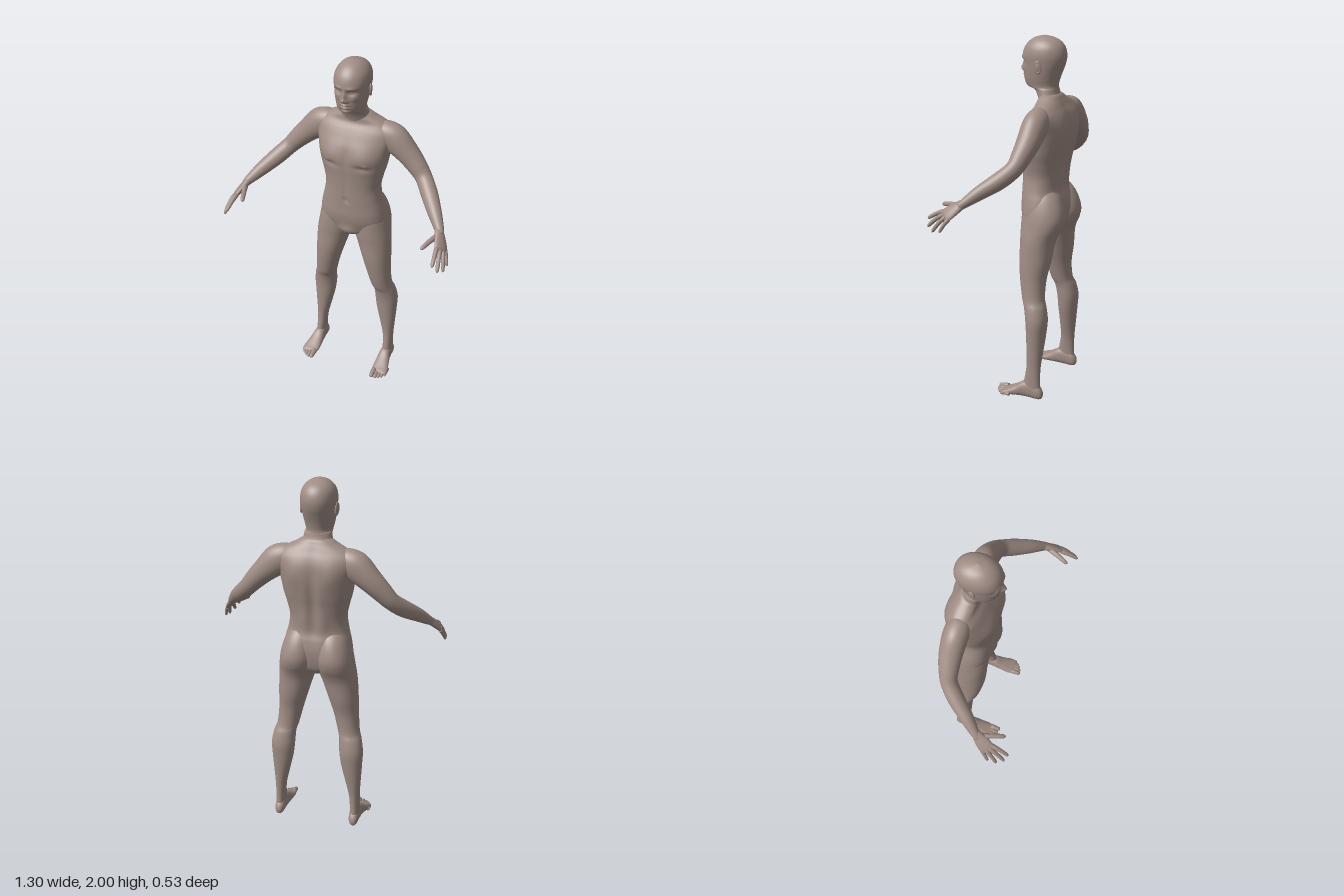
import * as THREE from 'three';

const skin = new THREE.MeshStandardMaterial({ color: 0xa08d85 });
skin.name = 'skin';

// Smoothly resample rows of numbers, column by column (Catmull-Rom)
function resample(rows, steps) {
  const out = [], last = rows.length - 1;
  for (let i = 0; i <= last * steps; i++) {
    const k = Math.min(Math.floor(i / steps), last - 1), t = i / steps - k;
    const at = (j) => rows[Math.max(0, Math.min(last, j))];
    out.push(rows[k].map((b, c) => {
      const a = at(k - 1)[c], d = at(k + 1)[c], e = at(k + 2)[c];
      return 0.5 * (2 * b + (d - a) * t + (2 * a - 5 * b + 4 * d - e) * t * t + (3 * b - a - 3 * d + e) * t ** 3);
    }));
  }
  return out;
}

// Join rings of points into a closed skin, turned outwards
function skinRings(name, rings) {
  const n = rings[0].length, pts = rings.flat(), index = [];
  for (let r = 0; r < rings.length - 1; r++) {
    for (let i = 0; i < n; i++) {
      const a = r * n + i, b = r * n + (i + 1) % n;
      index.push(a, b, a + n, b, b + n, a + n);
    }
  }
  [rings[0], rings[rings.length - 1]].forEach((ring, end) => {
    const c = ring.reduce((s, p) => s.add(p), new THREE.Vector3()).divideScalar(n);
    const start = end ? (rings.length - 1) * n : 0, id = pts.length;
    pts.push(c);
    for (let i = 0; i < n; i++) {
      const a = start + i, b = start + (i + 1) % n;
      index.push(...(end ? [a, b, id] : [b, a, id]));
    }
  });
  let volume = 0;
  const cross = new THREE.Vector3();
  for (let i = 0; i < index.length; i += 3) {
    volume += pts[index[i]].dot(cross.crossVectors(pts[index[i + 1]], pts[index[i + 2]]));
  }
  if (volume < 0) index.reverse();
  const geo = new THREE.BufferGeometry().setFromPoints(pts);
  geo.setIndex(index);
  geo.computeVertexNormals();
  const mesh = new THREE.Mesh(geo, skin);
  mesh.name = name;
  return mesh;
}

const sp = (v, p) => Math.sign(v) * Math.abs(v) ** (2 / p);

// Stack of level slices: [level, x0, x1, v0, v1]; shape() places and sculpts a point
function stack(name, rows, steps, seg, power, shape) {
  return skinRings(name, resample(rows, steps).map(([h, x0, x1, v0, v1]) =>
    Array.from({ length: seg }, (_, i) => {
      const a = (i / seg) * Math.PI * 2;
      const x = (x0 + x1) / 2 + (x1 - x0) / 2 * sp(Math.cos(a), power);
      const v = (v0 + v1) / 2 + (v1 - v0) / 2 * sp(Math.sin(a), power);
      return shape(x, h, v);
    })));
}

// Limb along a path: [x, y, z, radiusAlongRef, radiusAcross]; s mirrors it
function limb(name, rows, s, ref, steps = 6, seg = 24) {
  const list = resample(rows, steps);
  const at = (i) => {
    const r = list[Math.max(0, Math.min(list.length - 1, i))];
    return new THREE.Vector3(r[0] * s, r[1], r[2]);
  };
  return skinRings(name, list.map((row, i) => {
    const t = at(i + 1).sub(at(i - 1)).normalize();
    const a = new THREE.Vector3(ref[0] * s, ref[1], ref[2]);
    a.addScaledVector(t, -a.dot(t)).normalize();
    const b = new THREE.Vector3().crossVectors(t, a);
    return Array.from({ length: seg }, (_, k) => {
      const w = (k / seg) * Math.PI * 2;
      return at(i).addScaledVector(a, Math.cos(w) * row[3]).addScaledVector(b, Math.sin(w) * row[4]);
    });
  }));
}

// Finger or toe from base to tip with knuckles and an arch
function digit(name, from, to, r, arch, s) {
  const profile = [[0, 1], [0.25, 1.02], [0.5, 0.9], [0.75, 0.86], [0.93, 0.66], [1, 0.08]];
  return limb(name, profile.map(([t, k]) => {
    const p = from.map((v, i) => v + (to[i] - v) * t);
    p[1] += arch * Math.sin(Math.PI * t);
    return [...p, r * k, r * k];
  }), s, [1, 0.3, 0.2], 3, 12);
}

// Sum of soft bumps [x, y, width, height, amount], mirrored in x
const bumps = (list, x, y) => list.reduce((sum, [cx, cy, w, h, d]) =>
  sum + d * Math.exp(-(((Math.abs(x) - cx) / w) ** 2) - ((y - cy) / h) ** 2), 0);

const chestBumps = [[0.1, 1.475, 0.06, 0.045, 0.01], [0.09, 1.42, 0.04, 0.014, -0.009], [0.11, 1.437, 0.012, 0.01, 0.007],
  [0, 1.47, 0.016, 0.08, -0.007], [0, 1.2, 0.012, 0.012, -0.01], [0, 1.27, 0.01, 0.08, -0.004], [0, 0.99, 0.045, 0.03, 0.015]];
const backBumps = [[0, 1.4, 0.025, 0.18, 0.014], [0.1, 1.52, 0.05, 0.07, -0.01], [0.05, 1.25, 0.03, 0.08, -0.006]];
const faceBumps = [[0, 1.845, 0.011, 0.024, 0.014], [0, 1.822, 0.012, 0.013, 0.02], [0.014, 1.816, 0.007, 0.008, 0.011],
  [0.036, 1.862, 0.018, 0.011, -0.016], [0.036, 1.862, 0.012, 0.006, 0.009], [0.035, 1.886, 0.024, 0.009, 0.006],
  [0.052, 1.83, 0.02, 0.018, 0.006], [0, 1.792, 0.02, 0.006, 0.011], [0, 1.785, 0.026, 0.0025, -0.007],
  [0, 1.776, 0.017, 0.006, 0.01], [0, 1.764, 0.02, 0.006, -0.004], [0, 1.747, 0.02, 0.011, 0.006]];

const wide = ([y, w, front, back]) => [y, -w, w, front, back];

const torsoRows = [[0.935, 0.008, -0.1, -0.13], [0.95, 0.05, -0.05, -0.19], [0.97, 0.11, -0.03, -0.21], [1, 0.17, -0.022, -0.225],
  [1.05, 0.19, -0.007, -0.235], [1.1, 0.187, 0, -0.238], [1.15, 0.177, 0, -0.23], [1.2, 0.164, 0, -0.215],
  [1.27, 0.155, 0, -0.22], [1.34, 0.168, 0.002, -0.23], [1.4, 0.184, 0.007, -0.242], [1.46, 0.195, 0.008, -0.25],
  [1.52, 0.205, -0.006, -0.252], [1.57, 0.215, -0.032, -0.248], [1.61, 0.213, -0.056, -0.235], [1.645, 0.175, -0.08, -0.215],
  [1.675, 0.115, -0.083, -0.198], [1.7, 0.07, -0.09, -0.18], [1.71, 0.01, -0.12, -0.14]].map(wide);

const headRows = [[1.6, 0.07, -0.09, -0.2], [1.66, 0.086, -0.08, -0.196], [1.7, 0.076, -0.064, -0.178], [1.725, 0.072, -0.045, -0.172],
  [1.735, 0.07, -0.01, -0.171], [1.75, 0.072, 0.006, -0.172], [1.78, 0.079, 0.015, -0.18], [1.82, 0.086, 0.018, -0.195],
  [1.86, 0.091, 0.02, -0.21], [1.9, 0.094, 0.023, -0.216], [1.94, 0.087, 0.01, -0.207], [1.97, 0.068, -0.015, -0.184],
  [1.99, 0.04, -0.048, -0.145], [2, 0.003, -0.092, -0.1]].map(wide);

const legRows = [[1.22, 0.05, 0.12, -0.09, -0.17], [1.17, 0.02, 0.16, -0.05, -0.222], [1.11, 0.006, 0.185, -0.03, -0.253],
  [1.05, 0.002, 0.2, -0.025, -0.265], [1, 0.004, 0.208, -0.024, -0.255], [0.95, 0.012, 0.215, -0.025, -0.232],
  [0.9, 0.028, 0.22, -0.028, -0.217], [0.8, 0.06, 0.225, -0.03, -0.205], [0.7, 0.09, 0.228, -0.042, -0.187],
  [0.6, 0.115, 0.237, -0.062, -0.187], [0.55, 0.128, 0.253, -0.082, -0.203], [0.48, 0.132, 0.265, -0.095, -0.215],
  [0.4, 0.142, 0.262, -0.1, -0.21], [0.3, 0.165, 0.256, -0.105, -0.2], [0.2, 0.188, 0.25, -0.107, -0.19],
  [0.12, 0.195, 0.25, -0.095, -0.188], [0.06, 0.197, 0.25, -0.085, -0.19], [0.03, 0.205, 0.24, -0.1, -0.18]];

const footRows = [[-0.206, 0.218, 0.228, 0.03, 0.04], [-0.2, 0.206, 0.24, 0.012, 0.06], [-0.18, 0.196, 0.249, 0.004, 0.085],
  [-0.14, 0.192, 0.253, 0.004, 0.105], [-0.09, 0.188, 0.258, 0.004, 0.098], [-0.05, 0.185, 0.268, 0.004, 0.07],
  [0, 0.183, 0.28, 0.004, 0.042], [0.025, 0.188, 0.28, 0.005, 0.031], [0.04, 0.195, 0.265, 0.012, 0.022]];

const armRows = [[0.12, 1.6, -0.145, 0.045, 0.05], [0.165, 1.59, -0.147, 0.062, 0.07], [0.215, 1.562, -0.15, 0.066, 0.08],
  [0.285, 1.5, -0.15, 0.061, 0.065], [0.345, 1.44, -0.142, 0.052, 0.055], [0.395, 1.385, -0.125, 0.044, 0.047],
  [0.45, 1.33, -0.07, 0.044, 0.046], [0.51, 1.275, 0.005, 0.036, 0.038], [0.555, 1.23, 0.06, 0.026, 0.027],
  [0.575, 1.208, 0.088, 0.02, 0.02]];

const palmRows = [[0.555, 1.23, 0.058, 0.02, 0.018], [0.565, 1.217, 0.08, 0.027, 0.02], [0.58, 1.198, 0.105, 0.035, 0.018],
  [0.595, 1.176, 0.132, 0.041, 0.016], [0.605, 1.16, 0.15, 0.039, 0.013], [0.611, 1.15, 0.161, 0.028, 0.006]];

const fingers = [
  ['thumb', [0.566, 1.205, 0.095], [0.518, 1.186, 0.222], 0.0145, 0.006],
  ['indexFinger', [0.585, 1.177, 0.165], [0.597, 1.125, 0.263], 0.012, 0.006],
  ['middleFinger', [0.601, 1.166, 0.158], [0.622, 1.09, 0.25], 0.012, 0.008],
  ['ringFinger', [0.613, 1.156, 0.145], [0.642, 1.073, 0.212], 0.0115, 0.008],
  ['littleFinger', [0.619, 1.148, 0.124], [0.646, 1.08, 0.165], 0.0105, 0.006]];

// Toe centre x, tip z and radius, from the big toe outwards
const toes = [[0.202, 0.081, 0.0155], [0.225, 0.077, 0.0115], [0.243, 0.068, 0.011], [0.259, 0.055, 0.0105], [0.273, 0.038, 0.0105]];

export function createModel() {
  const body = new THREE.Group();
  body.name = 'humanFigure';

  body.add(stack('torso', torsoRows, 6, 96, 2.3, (x, y, z) =>
    new THREE.Vector3(x, y, z + (z > -0.11 ? bumps(chestBumps, x, y) * Math.min(1, (z + 0.11) / 0.05)
      : bumps(backBumps, x, y) * Math.min(1, (-0.11 - z) / 0.05)))));

  body.add(stack('headAndNeck', headRows, 10, 120, 2.1, (x, y, z) =>
    new THREE.Vector3(x, y, z + bumps(faceBumps, x, y) * Math.max(0, Math.min(1, (z + 0.07) / 0.05)))));

  for (const s of [1, -1]) {
    const side = s > 0 ? 'left' : 'right';

    // Ear: a rim around a shallow shell
    const ear = new THREE.Group();
    ear.name = side + 'Ear';
    const rim = new THREE.Mesh(new THREE.TorusGeometry(0.018, 0.0055, 10, 28), skin);
    rim.name = 'earRim';
    const shell = new THREE.Mesh(new THREE.SphereGeometry(0.018, 20, 12), skin);
    shell.name = 'earShell';
    shell.scale.z = 0.4;
    ear.add(rim, shell);
    ear.scale.set(0.85, 1.5, 1);
    ear.position.set(s * 0.094, 1.846, -0.102);
    ear.rotation.set(0, s * (Math.PI / 2 + 0.25), s * 0.12);
    body.add(ear);

    // Arm and hand
    body.add(limb(side + 'Arm', armRows, s, [0, 0, 1], 6, 36));
    const hand = new THREE.Group();
    hand.name = side + 'Hand';
    hand.add(limb('palm', palmRows, s, [-0.033, 0.025, 0.055]));
    for (const [name, from, to, r, arch] of fingers) hand.add(digit(name, from, to, r, arch, s));
    body.add(hand);

    // Leg and foot
    body.add(stack(side + 'Leg', legRows, 6, 48, 2.1, (x, y, z) => new THREE.Vector3(s * x, y, z)));
    const foot = new THREE.Group();
    foot.name = side + 'Foot';
    foot.add(stack('sole', footRows, 5, 36, 2.3, (x, z, y) => new THREE.Vector3(s * x, y, z)));
    toes.forEach(([x, z, r], i) => {
      foot.add(digit('toe' + (i + 1), [x, r + 0.006, z - 0.06], [x, r * 0.8, z], r, 0.003, s));
    });
    body.add(foot);
  }
  return body;
}
